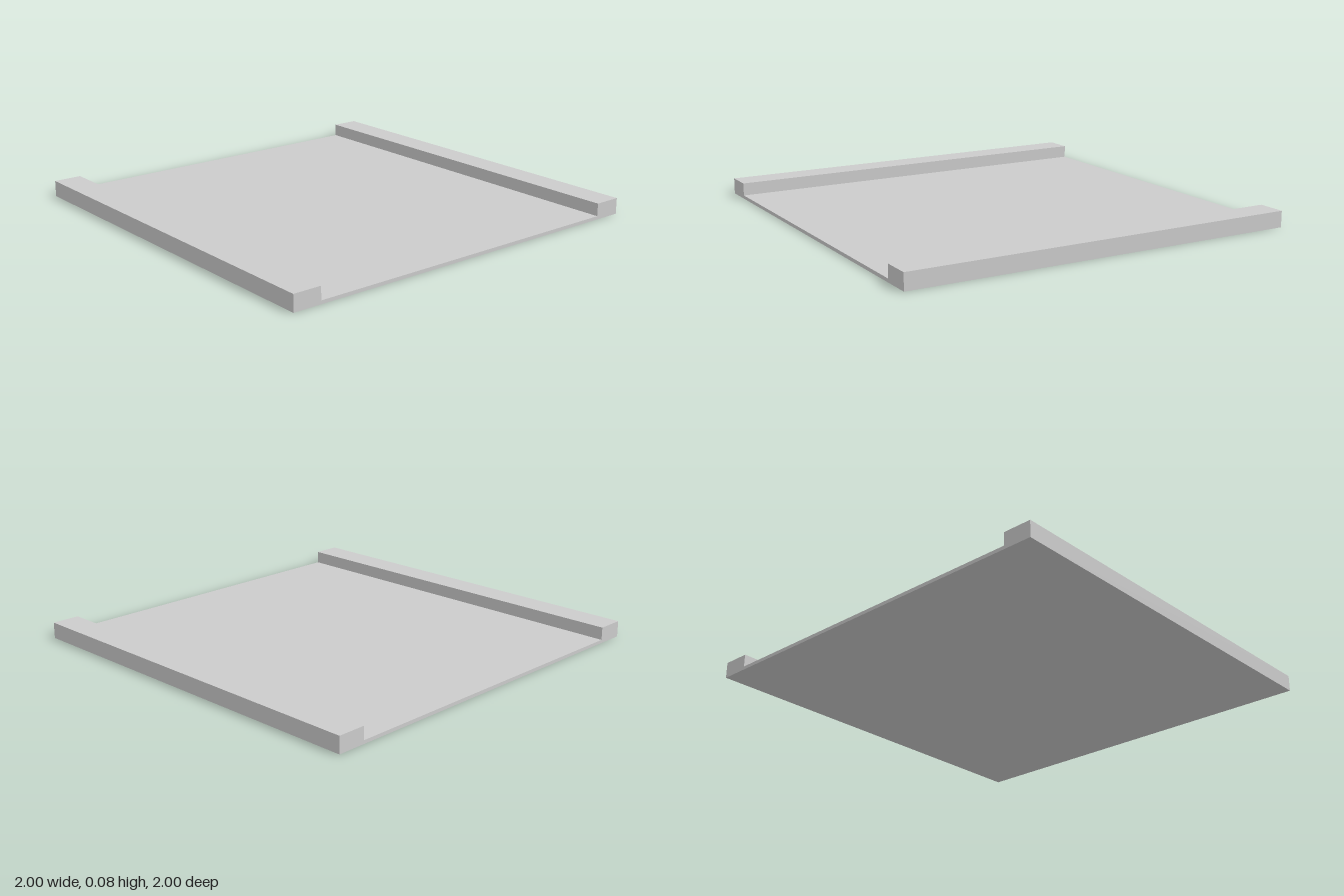
import * as THREE from 'three';

const WIDTH = 2, DEPTH = 2;
const RAIL_WIDTH = 0.142, RAIL_HEIGHT = 0.081, FLOOR_HEIGHT = 0.017;

export function createModel() {
  const group = new THREE.Group();
  group.name = 'railedTray';
  const material = new THREE.MeshStandardMaterial({ color: 0xcccccc, flatShading: true });

  // One shallow U profile: thin floor plate with a raised rail along each side
  const outer = WIDTH / 2, inner = outer - RAIL_WIDTH;
  const profile = new THREE.Shape([
    [-outer, 0], [outer, 0], [outer, RAIL_HEIGHT], [inner, RAIL_HEIGHT],
    [inner, FLOOR_HEIGHT], [-inner, FLOOR_HEIGHT], [-inner, RAIL_HEIGHT], [-outer, RAIL_HEIGHT],
  ].map(([x, y]) => new THREE.Vector2(x, y)));

  // Run the profile from back to front
  const geometry = new THREE.ExtrudeGeometry(profile, { depth: DEPTH, bevelEnabled: false });
  geometry.translate(0, 0, -DEPTH / 2);

  const tray = new THREE.Mesh(geometry, material);
  tray.name = 'floorWithSideRails';
  group.add(tray);
  return group;
}
